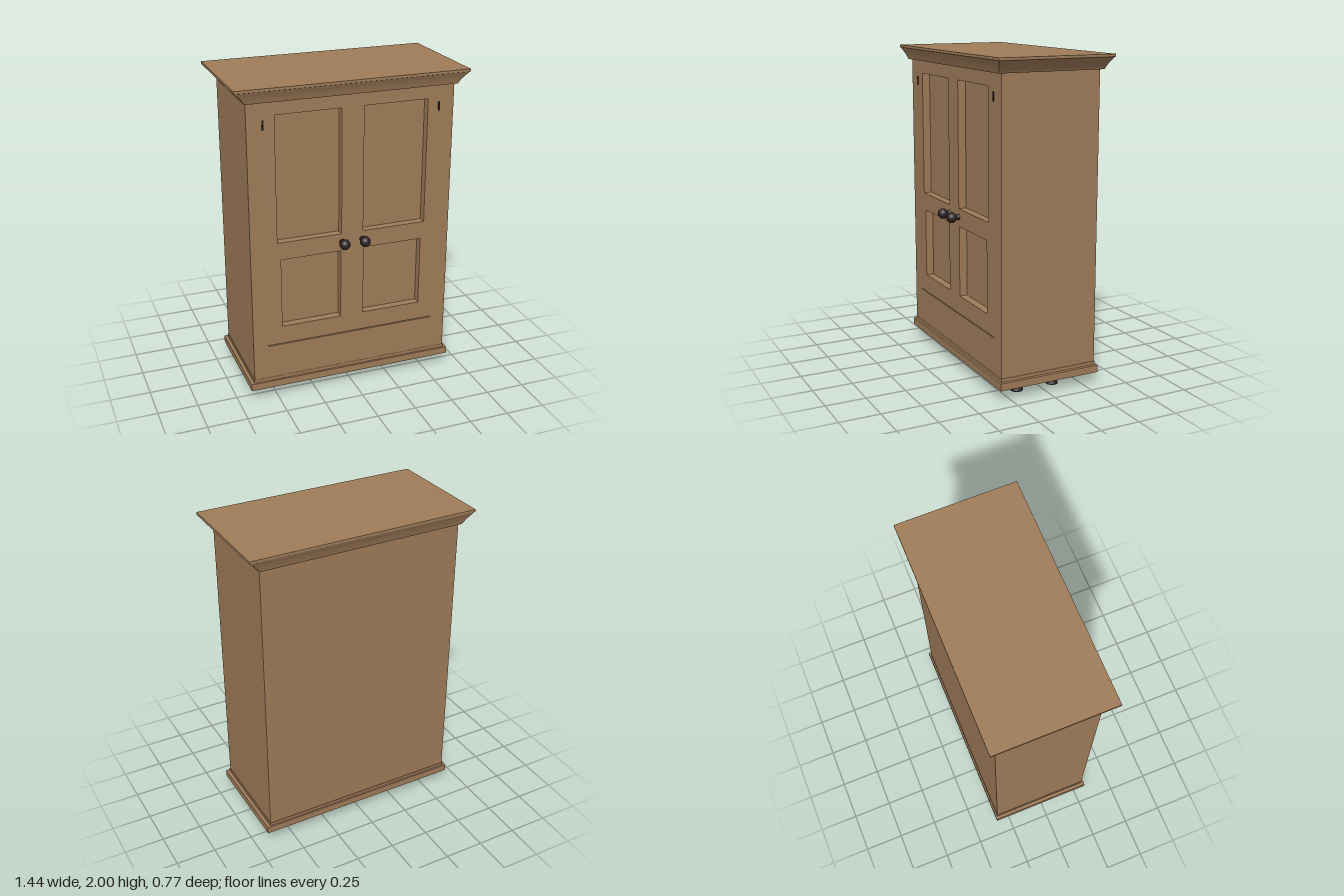
import * as THREE from 'three';

export function createModel() {
  const root = new THREE.Group();
  root.name = 'wardrobe';
  const mat = (name, color, side = THREE.FrontSide) => {
    const m = new THREE.MeshStandardMaterial({ color, side });
    m.name = name;
    return m;
  };
  const wood = mat('wood', 0xa07c59);
  const dark = mat('dark turned wood', 0x2b2222, THREE.DoubleSide);
  const iron = mat('iron', 0x1c1816);

  const add = (name, geo, material, x = 0, y = 0, z = 0) => {
    const mesh = new THREE.Mesh(geo, material);
    mesh.name = name;
    mesh.position.set(x, y, z);
    root.add(mesh);
    return mesh;
  };
  // Box given by its limits
  const box = (name, m, x0, x1, y0, y1, z0, z1) =>
    add(name, new THREE.BoxGeometry(x1 - x0, y1 - y0, z1 - z0), m,
      (x0 + x1) / 2, (y0 + y1) / 2, (z0 + z1) / 2);
  const rect = (P, x0, x1, y0, y1) => {
    const p = new P();
    p.moveTo(x0, y0); p.lineTo(x1, y0); p.lineTo(x1, y1); p.lineTo(x0, y1);
    p.closePath();
    return p;
  };

  // Carcass behind the front
  box('carcass', wood, -0.645, 0.645, 0.11, 1.915, -0.33, 0.255);

  // Front with four sunken panels and narrow gaps around the doors
  const front = rect(THREE.Shape, -0.645, 0.645, 0.11, 1.915);
  for (const s of [-1, 1]) {
    for (const [a, b, y0, y1] of [[0.07, 0.477, 1.04, 1.828], [0.075, 0.457, 0.48, 0.928]]) {
      front.holes.push(rect(THREE.Path, Math.min(s * a, s * b), Math.max(s * a, s * b), y0, y1));
    }
  }
  front.holes.push(rect(THREE.Path, -0.55, 0.55, 0.356, 0.362));
  add('doorFront', new THREE.ExtrudeGeometry(front, { depth: 0.05, bevelEnabled: false }),
    wood, 0, 0, 0.255);

  // Plinth and the small fillet above it
  box('plinth', wood, -0.67, 0.67, 0.07, 0.115, -0.343, 0.32);
  box('plinthFillet', wood, -0.649, 0.649, 0.112, 0.135, -0.333, 0.307);

  // Mitred cornice: rectangles [y, half width, half depth] stacked upwards
  const rings = [[1.91, 0.656, 0.34], [1.922, 0.663, 0.344], [1.94, 0.676, 0.35],
    [1.96, 0.694, 0.358], [1.968, 0.703, 0.362], [1.982, 0.716, 0.368],
    [1.984, 0.722, 0.372], [2.0, 0.722, 0.372]];
  const corner = ([y, w, d], i) => [[w, y, d], [w, y, -d], [-w, y, -d], [-w, y, d]][i % 4];
  const verts = [];
  const quad = (a, b, c, d) => verts.push(...a, ...b, ...c, ...a, ...c, ...d);
  for (let r = 0; r < rings.length - 1; r++) {
    for (let i = 0; i < 4; i++) {
      quad(corner(rings[r], i), corner(rings[r], i + 1),
        corner(rings[r + 1], i + 1), corner(rings[r + 1], i));
    }
  }
  const top = rings[rings.length - 1];
  quad(corner(top, 0), corner(top, 1), corner(top, 2), corner(top, 3));
  quad(corner(rings[0], 3), corner(rings[0], 2), corner(rings[0], 1), corner(rings[0], 0));
  const cornice = new THREE.BufferGeometry();
  cornice.setAttribute('position', new THREE.Float32BufferAttribute(verts, 3));
  cornice.computeVertexNormals();
  add('cornice', cornice, wood, 0, 0, -0.0125);

  // Turned feet and door knobs
  const lathe = (pts, n) => new THREE.LatheGeometry(pts.map(([r, y]) => new THREE.Vector2(r, y)), n);
  const footGeo = lathe([[0, 0], [0.038, 0], [0.038, 0.008], [0.031, 0.014], [0.028, 0.034],
    [0.032, 0.048], [0.04, 0.054], [0.04, 0.066], [0.034, 0.072]], 20);
  const knobPts = [[0.019, 0], [0.019, 0.005], [0.013, 0.012], [0.013, 0.022]];
  for (let i = 0; i <= 10; i++) {
    const a = -1.15 + (i / 10) * (Math.PI / 2 + 1.15);
    knobPts.push([0.033 * Math.cos(a), 0.048 + 0.033 * Math.sin(a)]);
  }
  const knobGeo = lathe(knobPts, 24).rotateX(Math.PI / 2);

  for (const s of [-1, 1]) {
    const side = s > 0 ? 'left' : 'right';
    add(side + 'FrontFoot', footGeo, dark, s * 0.54, 0, 0.147);
    add(side + 'BackFoot', footGeo, dark, s * 0.54, 0, -0.095);
    add(side + 'Knob', knobGeo, dark, s * 0.066, 0.987, 0.304);
    box(side + 'Hinge', iron, s * 0.548 - 0.005, s * 0.548 + 0.005, 1.748, 1.803, 0.301, 0.31);
  }
  return root;
}
